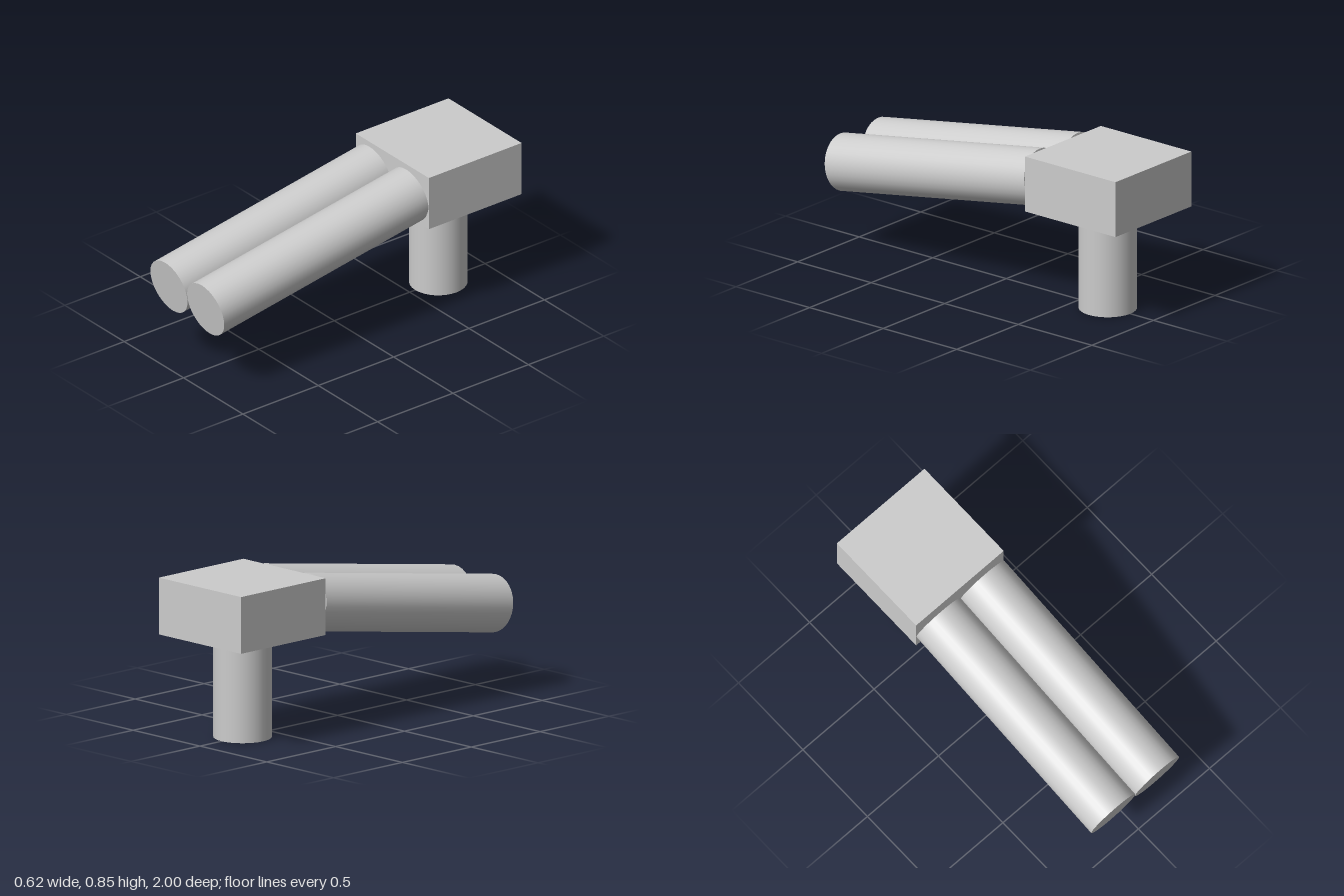
import * as THREE from 'three';

const material = new THREE.MeshStandardMaterial({ color: 0xcccccc });
const RADIUS = 0.153;

// Capped cylinder running between two points
function rod(name, from, to) {
  const axis = to.clone().sub(from);
  const mesh = new THREE.Mesh(new THREE.CylinderGeometry(RADIUS, RADIUS, axis.length(), 32), material);
  mesh.name = name;
  mesh.position.copy(from).add(to).multiplyScalar(0.5);
  mesh.quaternion.setFromUnitVectors(new THREE.Vector3(0, 1, 0), axis.normalize());
  return mesh;
}

export function createModel() {
  const model = new THREE.Group();
  model.name = 'model';

  // Upright post
  model.add(rod('post', new THREE.Vector3(0, 0, -0.69), new THREE.Vector3(0, 0.546, -0.69)));

  // Block on top of the post
  const block = new THREE.Mesh(new THREE.BoxGeometry(0.616, 0.304, 0.615), material);
  block.name = 'block';
  block.position.set(0, 0.698, -0.6925);
  model.add(block);

  // Two sloping tubes side by side, the left one a touch lower
  for (const [name, x, drop] of [['rightTube', -0.1545, 0], ['leftTube', 0.1545, 0.002]]) {
    model.add(rod(
      name,
      new THREE.Vector3(x, 0.696 - drop, -0.381),
      new THREE.Vector3(x, 0.467 - drop, 0.975)
    ));
  }
  return model;
}
